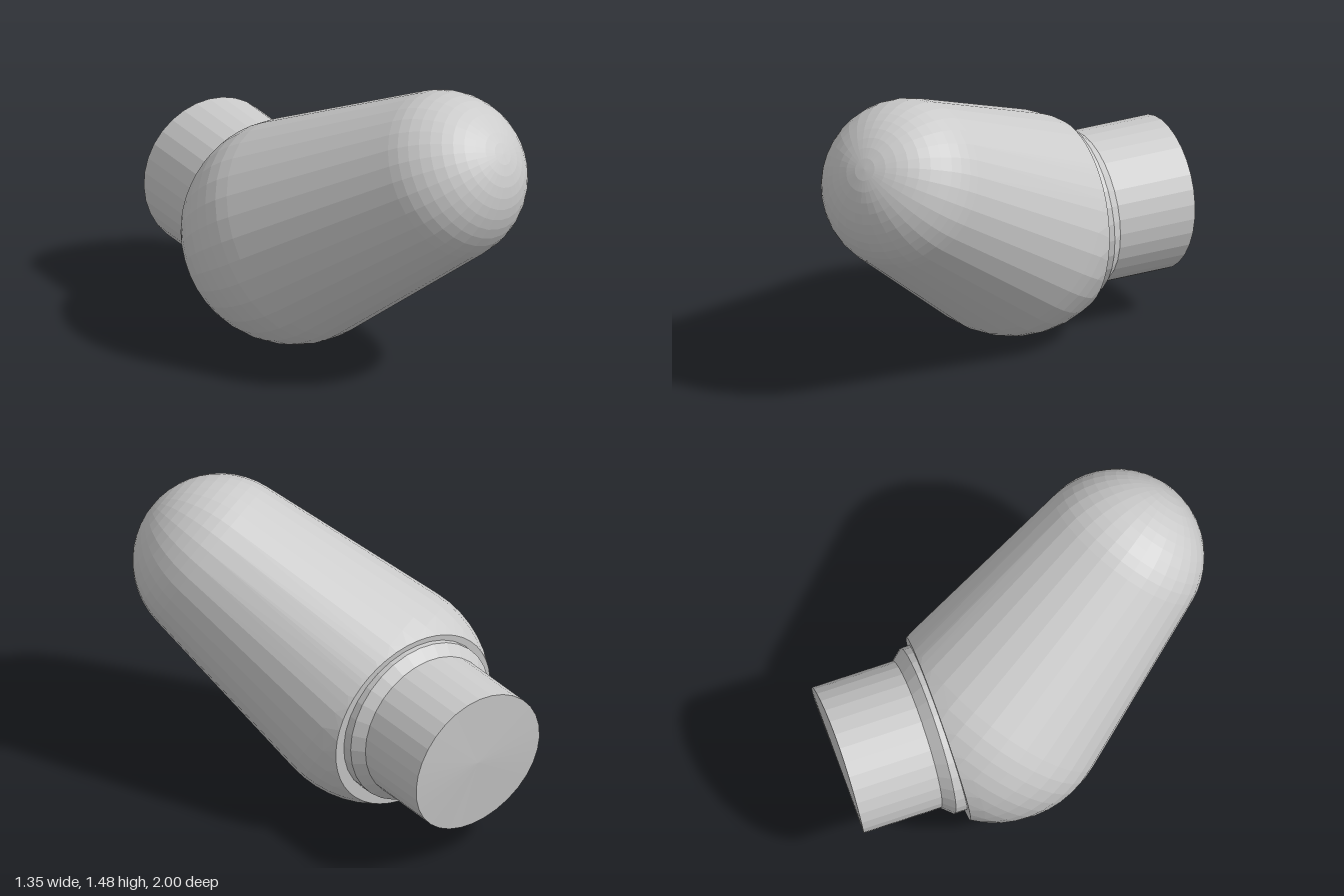
import * as THREE from 'three';
import { ConvexGeometry } from 'three/addons/geometries/ConvexGeometry.js';

const BIG = { centre: new THREE.Vector3(-0.125, 0.553, -0.18), radius: 0.552 };
const SMALL = { centre: new THREE.Vector3(0.25, 1.055, 0.575), radius: 0.425 };
const SIDES = 32;

// Points of a sphere whose poles lie along the given axis
function spherePoints({ centre, radius }, axis) {
  const geometry = new THREE.SphereGeometry(radius, SIDES, 24);
  geometry.applyQuaternion(new THREE.Quaternion().setFromUnitVectors(new THREE.Vector3(0, 1, 0), axis));
  const position = geometry.attributes.position;
  const points = [];
  for (let i = 0; i < position.count; i++) {
    points.push(new THREE.Vector3().fromBufferAttribute(position, i).add(centre));
  }
  return points;
}

// Tapered capsule, sliced flat where the neck joins
function bodyGeometry() {
  const axis = SMALL.centre.clone().sub(BIG.centre).normalize();
  const cutNormal = new THREE.Vector3(0, -0.065, -1).normalize();
  const cutDistance = 0.29;
  const points = spherePoints(SMALL, axis);
  for (const p of spherePoints(BIG, axis)) {
    if (p.clone().sub(BIG.centre).dot(cutNormal) < cutDistance - 0.02) points.push(p);
  }
  // Clean rim around the slice
  const rimRadius = Math.sqrt(BIG.radius ** 2 - cutDistance ** 2);
  const up = new THREE.Vector3(1, 0, 0).cross(cutNormal);
  for (let i = 0; i < 48; i++) {
    const a = (i / 48) * Math.PI * 2;
    points.push(BIG.centre.clone()
      .addScaledVector(cutNormal, cutDistance)
      .addScaledVector(new THREE.Vector3(1, 0, 0), rimRadius * Math.cos(a))
      .addScaledVector(up, rimRadius * Math.sin(a)));
  }
  return new ConvexGeometry(points);
}

// Stepped collar and pipe, with a gently curved slanting end
function neckGeometry() {
  const profile = [[0.4225, 0.38], [0.4225, 0.525], [0.375, 0.58], [0.375, 1], [0, 1]]
    .map(([r, h]) => new THREE.Vector2(r, h));
  const geometry = new THREE.LatheGeometry(profile, SIDES);
  geometry.rotateX(-Math.PI / 2);
  geometry.translate(BIG.centre.x, BIG.centre.y, 0);
  const position = geometry.attributes.position;
  for (let i = 0; i < position.count; i++) {
    if (position.getZ(i) < -0.99) {
      const t = (BIG.centre.y + 0.375 - position.getY(i)) / 0.75;
      position.setZ(i, -1 + 0.058 * t * t);
    }
  }
  geometry.computeVertexNormals();
  return geometry;
}

export function createModel() {
  const group = new THREE.Group();
  const material = new THREE.MeshStandardMaterial({ color: 0xcccccc, flatShading: true });
  const add = (name, geometry) => {
    const mesh = new THREE.Mesh(geometry, material);
    mesh.name = name;
    group.add(mesh);
  };
  add('body', bodyGeometry());
  add('neck', neckGeometry());
  return group;
}
